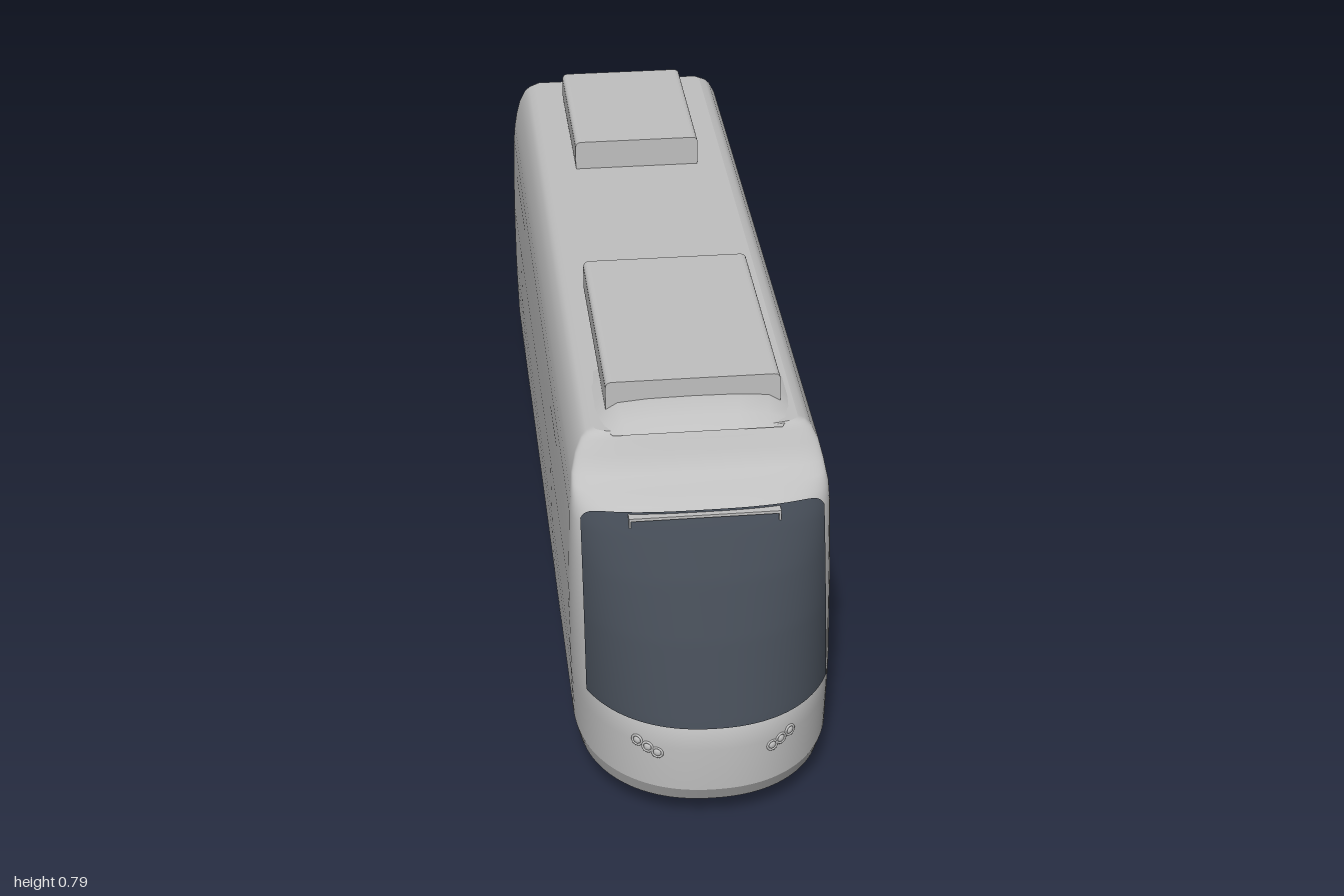
import * as THREE from 'three';

const mat = (name, color, side = THREE.FrontSide) => {
  const m = new THREE.MeshStandardMaterial({ color, side });
  m.name = name;
  return m;
};

// Body slices: height, half width, start of nose, tip of nose, roundness of plan
const SLICES = [
  [0.063, 0.245, 0.70, 0.975, 2.2], [0.10, 0.254, 0.70, 0.995, 2.2],
  [0.20, 0.257, 0.70, 1.0, 2.2], [0.25, 0.258, 0.70, 0.993, 2.2],
  [0.40, 0.259, 0.70, 0.925, 2.2], [0.50, 0.257, 0.70, 0.868, 2.3],
  [0.58, 0.255, 0.70, 0.808, 2.6], [0.615, 0.252, 0.70, 0.775, 2.8],
  [0.632, 0.249, 0.68, 0.745, 3], [0.645, 0.247, 0.67, 0.705, 3],
  [0.68, 0.238, 0.655, 0.685, 3], [0.705, 0.225, 0.64, 0.673, 3],
  [0.715, 0.214, 0.635, 0.668, 3], [0.72, 0.20, 0.63, 0.665, 3],
];

function slice(y) {
  let k = 0;
  while (k < SLICES.length - 2 && y > SLICES[k + 1][0]) k++;
  const a = SLICES[k], b = SLICES[k + 1];
  const t = THREE.MathUtils.clamp((y - a[0]) / (b[0] - a[0]), 0, 1);
  const [, w, zs, zf, n] = a.map((v, i) => v + (b[i] - v) * t);
  return { w, zs, zf, n };
}

// Point on the rounded nose at angle a (0 = left side, PI = right side)
function nosePoint(a, y, grow = 0) {
  const { w, zs, zf, n } = slice(y);
  const c = Math.cos(a), s = Math.max(Math.sin(a), 0);
  return [
    Math.sign(c) * (w + grow) * Math.abs(c) ** (2 / n), y,
    zs + (zf + grow - zs) * s ** (2 / n),
  ];
}

// Point i on the plan outline, from the left rear corner round the nose
const N = 64;
function outline(i, y) {
  const { w } = slice(y), s = i < N / 2 ? 1 : -1;
  if (i === 0 || i === N) return [s * (w - 0.01), y, -1];
  if (i === 1 || i === N - 1) return [s * w, y, -0.99];
  return nosePoint(Math.PI * (i - 2) / (N - 4), y);
}

// Smooth grid surface; f(i, j) gives a point, facing along di x dj
function surface(nu, nv, f) {
  const pos = [], idx = [];
  for (let j = 0; j <= nv; j++) for (let i = 0; i <= nu; i++) pos.push(...f(i, j));
  for (let j = 0; j < nv; j++) for (let i = 0; i < nu; i++) {
    const a = j * (nu + 1) + i, c = a + nu + 1;
    idx.push(a, a + 1, c, a + 1, c + 1, c);
  }
  const g = new THREE.BufferGeometry();
  g.setAttribute('position', new THREE.Float32BufferAttribute(pos, 3));
  g.setIndex(idx);
  g.computeVertexNormals();
  return g;
}

export function createModel() {
  const grey = mat('bodyGrey', 0xc0c0c0);
  const glass = mat('darkGlass', 0x434a54, THREE.DoubleSide);
  const seam = mat('seamGrey', 0x5a5a5a, THREE.DoubleSide);
  const model = new THREE.Group();
  model.name = 'railCar';
  const add = (name, geo, material = grey, parent = model) => {
    const m = new THREE.Mesh(geo, material);
    m.name = name;
    parent.add(m);
    return m;
  };

  // Shell, skirt and flat closing faces
  const ys = SLICES.map(s => s[0]).reverse(), last = ys.length - 1;
  add('bodyShell', surface(N, last - 1, (i, j) => outline(i, ys[j])));
  add('skirt', surface(N, 1, (i, j) => outline(i, ys[last - 1 + j])));
  add('rearWall', surface(2, last, (i, j) => [(i - 1) * (slice(ys[j]).w - 0.01), ys[j], -1]));
  add('roof', surface(N / 2, 1, (i, j) => outline(j ? i : N - i, ys[0])));
  add('floor', surface(N / 2, 1, (i, j) => outline(j ? N - i : i, ys[last])));

  // Wrapped windscreen with rounded upper corners
  add('windscreen', surface(56, 40, (i, j) => {
    const s = i / 28 - 1;
    const y = 0.248 + (1 - j / 40) * (0.362 - 0.02 * Math.abs(s) ** 10);
    const { w, n } = slice(y);
    const edge = Math.acos((0.237 / (w + 0.004)) ** (n / 2));
    return nosePoint(Math.PI / 2 + s * (Math.PI / 2 - edge), y, 0.004);
  }), glass);

  // Bracket bar above the windscreen
  const bar = new THREE.Group();
  bar.name = 'screenBar';
  model.add(bar);
  add('bar', new THREE.BoxGeometry(0.294, 0.006, 0.022), grey, bar).position.set(0, 0.604, 0.787);
  for (const s of [1, -1])
    add('barEnd', new THREE.BoxGeometry(0.004, 0.02, 0.026), grey, bar).position.set(s * 0.145, 0.596, 0.785);

  // Raised fairing on the front of the roof: z, base half width, top half width, height
  const hump = [
    [0.38, 0.165, 0.14, 0], [0.42, 0.188, 0.15, 0.014], [0.48, 0.194, 0.15, 0.028],
    [0.56, 0.194, 0.15, 0.034], [0.60, 0.19, 0.148, 0.032], [0.64, 0.18, 0.142, 0.018],
    [0.672, 0.165, 0.135, 0],
  ];
  add('roofFairing', surface(6, hump.length - 1, (i, j) => {
    const [z, b, t, h] = hump[hump.length - 1 - j], k = i - 3, d = Math.abs(k);
    const x = Math.sign(k) * [0, t * 0.6, t, b][d];
    return [-x, 0.718 + h * [1, 0.96, 0.8, 0][d], z];
  }).scale(1, 1, 1), mat('fairingGrey', 0xc0c0c0, THREE.DoubleSide));

  // Rounded roof units
  const roofUnit = (name, w, y0, y1, z0, z1) => {
    const r = 0.014, s = new THREE.Shape();
    s.moveTo(-w + r, y0).lineTo(w - r, y0).quadraticCurveTo(w, y0, w, y0 + r);
    s.lineTo(w, y1 - r).quadraticCurveTo(w, y1, w - r, y1);
    s.lineTo(-w + r, y1).quadraticCurveTo(-w, y1, -w, y1 - r);
    s.lineTo(-w, y0 + r).quadraticCurveTo(-w, y0, -w + r, y0);
    const g = new THREE.ExtrudeGeometry(s, { depth: z1 - z0, bevelEnabled: false, curveSegments: 6 });
    add(name, g).position.z = z0;
  };
  roofUnit('frontRoofUnit', 0.172, 0.717, 0.79, 0.08, 0.59);
  roofUnit('rearRoofUnit', 0.14, 0.714, 0.786, -0.895, -0.51);

  // Door seams following the side walls
  const strip = (s, z0, z1, y0, y1) => add('doorSeam', surface(1, 10, (i, j) => {
    const y = y1 + (y0 - y1) * j / 10;
    return [s * (slice(y).w + 0.0012), y, i ? z1 : z0];
  }), seam);
  for (const s of [1, -1]) {
    for (const z of [0.245, -0.71]) strip(s, z - 0.002, z + 0.002, 0.11, 0.54);
    for (const [z0, z1] of [[0.245, 0.41], [-0.855, -0.57]])
      for (const y of [0.11, 0.54]) strip(s, z0, z1, y - 0.002, y + 0.002);
  }

  // Three ringed headlamps on each side, set square to the nose
  for (const s of [1, -1])
    for (const [x, y] of [[0.112, 0.185], [0.13, 0.193], [0.149, 0.202]]) {
      const { w, zs, zf, n } = slice(y);
      const z = zs + (zf - zs) * (1 - (x / w) ** n) ** (1 / n);
      const lamp = new THREE.Group();
      lamp.name = 'headlamp';
      lamp.position.set(s * x, y, z);
      lamp.rotation.y = s * Math.atan2((x / w) ** (n - 1) / w, ((z - zs) / (zf - zs)) ** (n - 1) / (zf - zs));
      add('lampRing', new THREE.TorusGeometry(0.0105, 0.0025, 8, 20), grey, lamp);
      add('lampLens', new THREE.SphereGeometry(0.008, 16, 8).scale(1, 1, 0.5), grey, lamp);
      model.add(lamp);
    }

  // Bogie plate and flanged wheels
  add('bogiePlate', new THREE.BoxGeometry(0.33, 0.01, 0.39)).position.set(0, 0.063, -0.19);
  for (const s of [1, -1])
    for (const z of [0.005, -0.385]) {
      const wheel = new THREE.Group();
      wheel.name = 'wheel';
      wheel.position.set(s * 0.162, 0.07, z);
      const disc = (name, r, w, x) =>
        add(name, new THREE.CylinderGeometry(r, r, w, 32).rotateZ(Math.PI / 2), grey, wheel).position.x = s * x;
      disc('tread', 0.062, 0.022, 0.002);
      disc('flange', 0.07, 0.006, -0.009);
      model.add(wheel);
    }
  return model;
}
